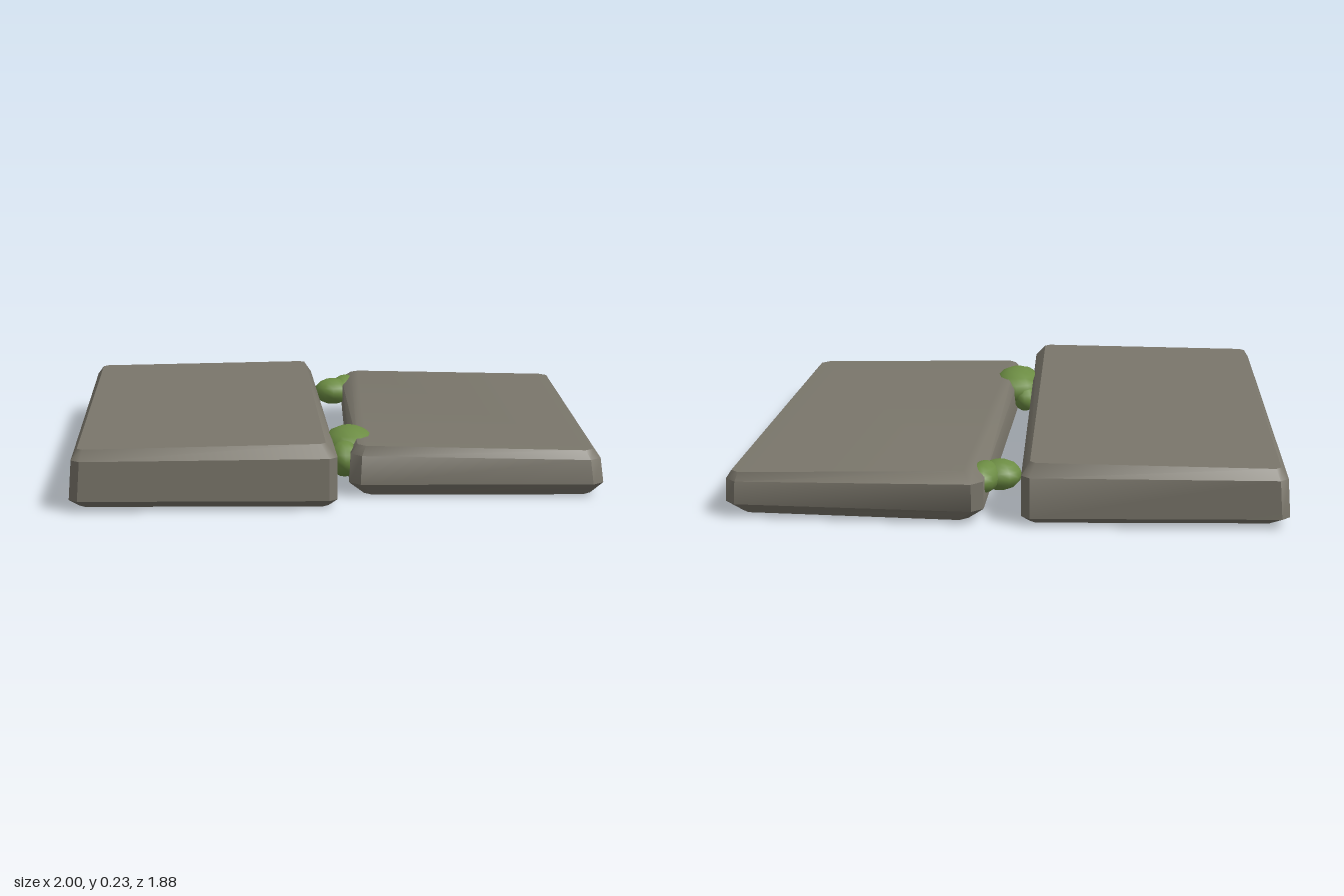
import * as THREE from 'three';
import { toCreasedNormals } from 'three/addons/utils/BufferGeometryUtils.js';

// Loft a worn slab through levels of four corners, each corner chamfered.
// Level: { y: [left, right], c: chamfer, p: [[x, z] back left, front left, front right, back right] }
function slabGeometry(levels) {
  const pos = [], idx = [], n = 8;
  for (const { y, c, p } of levels) {
    const xs = p.map(q => q[0]), lo = Math.min(...xs), hi = Math.max(...xs);
    p.forEach((q, i) => {
      for (const other of [p[(i + 3) % 4], p[(i + 1) % 4]]) {
        const t = c / Math.hypot(other[0] - q[0], other[1] - q[1]);
        const x = q[0] + (other[0] - q[0]) * t;
        const z = q[1] + (other[1] - q[1]) * t;
        pos.push(x, y[0] + (y[1] - y[0]) * (x - lo) / (hi - lo), z);
      }
    });
  }
  // side bands
  for (let l = 0; l < levels.length - 1; l++) {
    for (let i = 0; i < n; i++) {
      const a = l * n + i, b = l * n + (i + 1) % n;
      idx.push(a, b, b + n, a, b + n, a + n);
    }
  }
  // bottom and top caps
  const top = (levels.length - 1) * n;
  for (let i = 1; i < n - 1; i++) {
    idx.push(0, i + 1, i);
    idx.push(top, top + i, top + i + 1);
  }
  const g = new THREE.BufferGeometry();
  g.setAttribute('position', new THREE.Float32BufferAttribute(pos, 3));
  g.setIndex(idx);
  return toCreasedNormals(g, 0.7);
}

export function createModel() {
  const model = new THREE.Group();
  model.name = 'mossyPavingSlabs';
  const stone = new THREE.MeshStandardMaterial({ color: 0x7a766b });
  stone.name = 'stone grey';
  const moss = new THREE.MeshStandardMaterial({ color: 0x6c8c43 });
  moss.name = 'moss green';

  const addSlab = (name, levels) => {
    const mesh = new THREE.Mesh(slabGeometry(levels), stone);
    mesh.name = name;
    model.add(mesh);
  };

  // larger slab
  addSlab('largeSlab', [
    { y: [0.01, 0], c: 0.02, p: [[-0.95, -0.89], [-0.95, 0.89], [-0.08, 0.89], [-0.09, -0.89]] },
    { y: [0.04, 0.03], c: 0.03, p: [[-1, -0.94], [-0.985, 0.94], [-0.05, 0.94], [-0.06, -0.94]] },
    { y: [0.18, 0.18], c: 0.03, p: [[-0.99, -0.94], [-0.975, 0.94], [-0.05, 0.94], [-0.06, -0.945]] },
    { y: [0.215, 0.226], c: 0.02, p: [[-0.965, -0.91], [-0.955, 0.9], [-0.09, 0.9], [-0.09, -0.91]] },
  ]);

  // smaller, slightly turned slab
  addSlab('smallSlab', [
    { y: [0.005, 0.005], c: 0.03, p: [[0.13, -0.89], [0.055, 0.74], [0.87, 0.78], [0.95, -0.83]] },
    { y: [0.05, 0.05], c: 0.04, p: [[0.075, -0.935], [0.0, 0.775], [0.91, 0.825], [1.0, -0.88]] },
    { y: [0.155, 0.135], c: 0.04, p: [[0.075, -0.945], [0.005, 0.775], [0.9, 0.815], [0.995, -0.885]] },
    { y: [0.188, 0.165], c: 0.03, p: [[0.115, -0.885], [0.03, 0.755], [0.875, 0.79], [0.975, -0.87]] },
  ]);

  // moss clumps in the gap: centre, radii, turn about y
  const clumps = [
    ['frontMossMain', [0.015, 0.14, 0.52], [0.1, 0.075, 0.155], 0],
    ['frontMossTip', [-0.01, 0.12, 0.65], [0.06, 0.065, 0.08], 0],
    ['frontMossBack', [-0.02, 0.11, 0.43], [0.05, 0.055, 0.07], 0],
    ['backMossBall', [0.025, 0.125, -0.72], [0.08, 0.055, 0.08], 0],
    ['backMossLong', [0.08, 0.13, -0.77], [0.06, 0.055, 0.105], -0.25],
  ];
  for (const [name, centre, radii, turn] of clumps) {
    const mesh = new THREE.Mesh(new THREE.SphereGeometry(1, 12, 8), moss);
    mesh.name = name;
    mesh.position.set(...centre);
    mesh.scale.set(...radii);
    mesh.rotation.y = turn;
    model.add(mesh);
  }
  return model;
}
